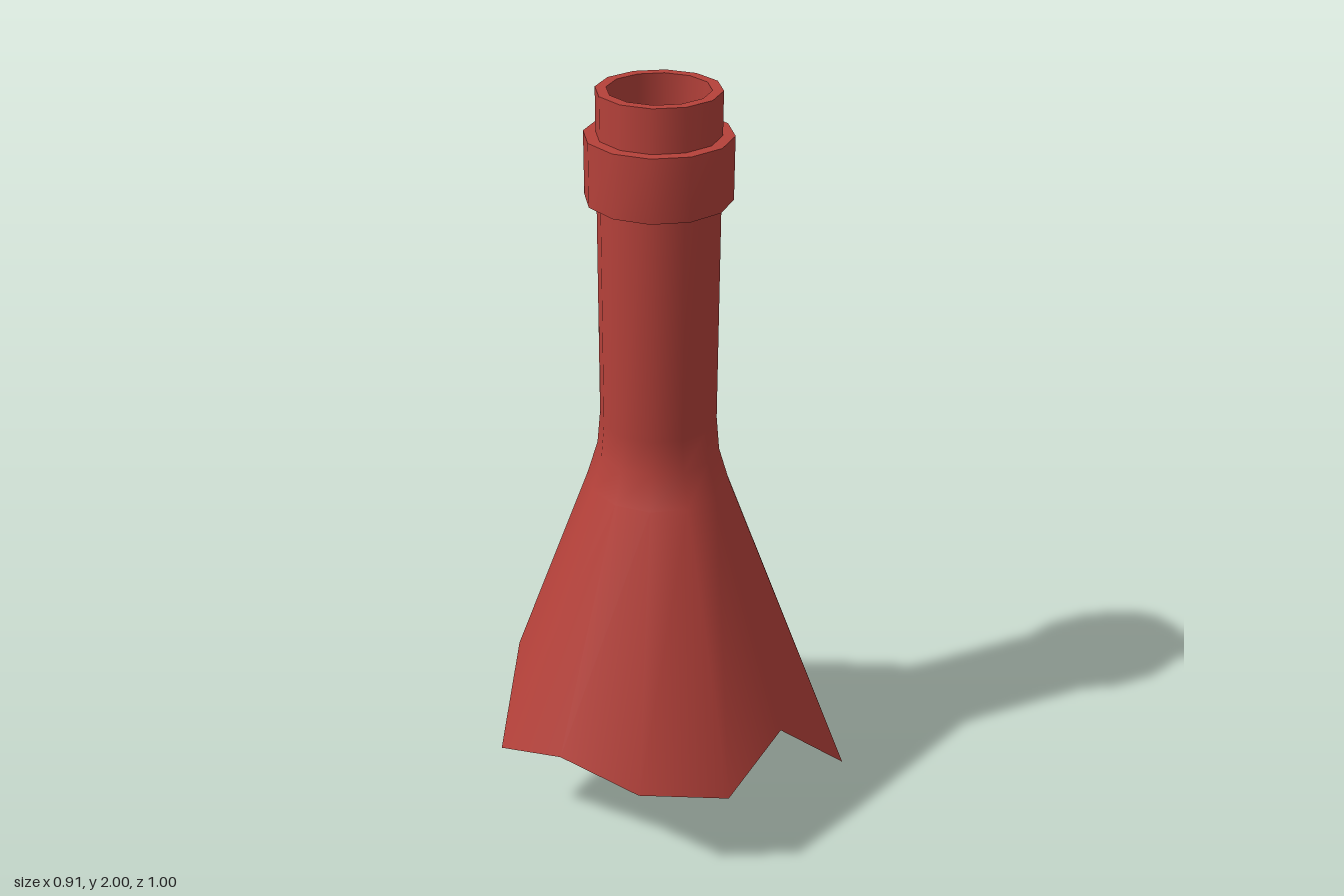
import * as THREE from 'three';

const SIDES = 12;

// Jagged lower edge: [radius, height] every 30 degrees, from +x towards +z
const BROKEN_EDGE = [
  [0.415, 0.36], [0.524, 0.08], [0.404, 0.34], [0.455, 0.26],
  [0.443, 0.29], [0.426, 0.335], [0.46, 0.235], [0.384, 0.42],
  [0.437, 0.30], [0.545, 0], [0.438, 0.30], [0.481, 0.16],
];

const ring = (r, y) => Array.from({ length: SIDES }, () => [r, y]);

// Smooth skin through a series of rings; it faces outward when the rings go up
function skin(rings) {
  const pos = [], index = [];
  rings.forEach((points) => points.forEach(([r, y], i) => {
    const a = (i / SIDES) * Math.PI * 2;
    pos.push(r * Math.cos(a), y, r * Math.sin(a));
  }));
  for (let j = 0; j < rings.length - 1; j++) {
    for (let i = 0; i < SIDES; i++) {
      const n = (i + 1) % SIDES;
      const a = j * SIDES + i, b = j * SIDES + n;
      const c = a + SIDES, d = b + SIDES;
      index.push(a, c, b, b, c, d);
    }
  }
  const g = new THREE.BufferGeometry();
  g.setAttribute('position', new THREE.Float32BufferAttribute(pos, 3));
  g.setIndex(index);
  g.computeVertexNormals();
  return g;
}

export function createModel() {
  const group = new THREE.Group();
  group.name = 'brokenBottleNeck';
  const glass = new THREE.MeshStandardMaterial({ color: 0xb5413a });
  glass.name = 'red glass';

  const bottle = new THREE.Group();
  bottle.name = 'bottle';
  bottle.position.set(0.004, 0, 0.045);
  group.add(bottle);

  const add = (name, rings) => {
    const mesh = new THREE.Mesh(skin(rings), glass);
    mesh.name = name;
    bottle.add(mesh);
  };

  // Neck and flared shoulder, ending in the broken edge
  add('outerWall', [BROKEN_EDGE, ring(0.183, 0.98), ring(0.156, 1.07), ring(0.148, 1.16), ring(0.148, 2)]);
  add('mouthRim', [ring(0.148, 2), ring(0.122, 2)]);
  add('innerWall', [ring(0.122, 2), ring(0.122, 1.16), ring(0.13, 1.07), ring(0.16, 0.98), BROKEN_EDGE]);

  // Collar below the mouth, one skin per face so its edges stay sharp
  add('collarUnderside', [ring(0.145, 1.74), ring(0.177, 1.74)]);
  add('collarSide', [ring(0.177, 1.74), ring(0.177, 1.895)]);
  add('collarTop', [ring(0.177, 1.895), ring(0.145, 1.895)]);

  return group;
}
